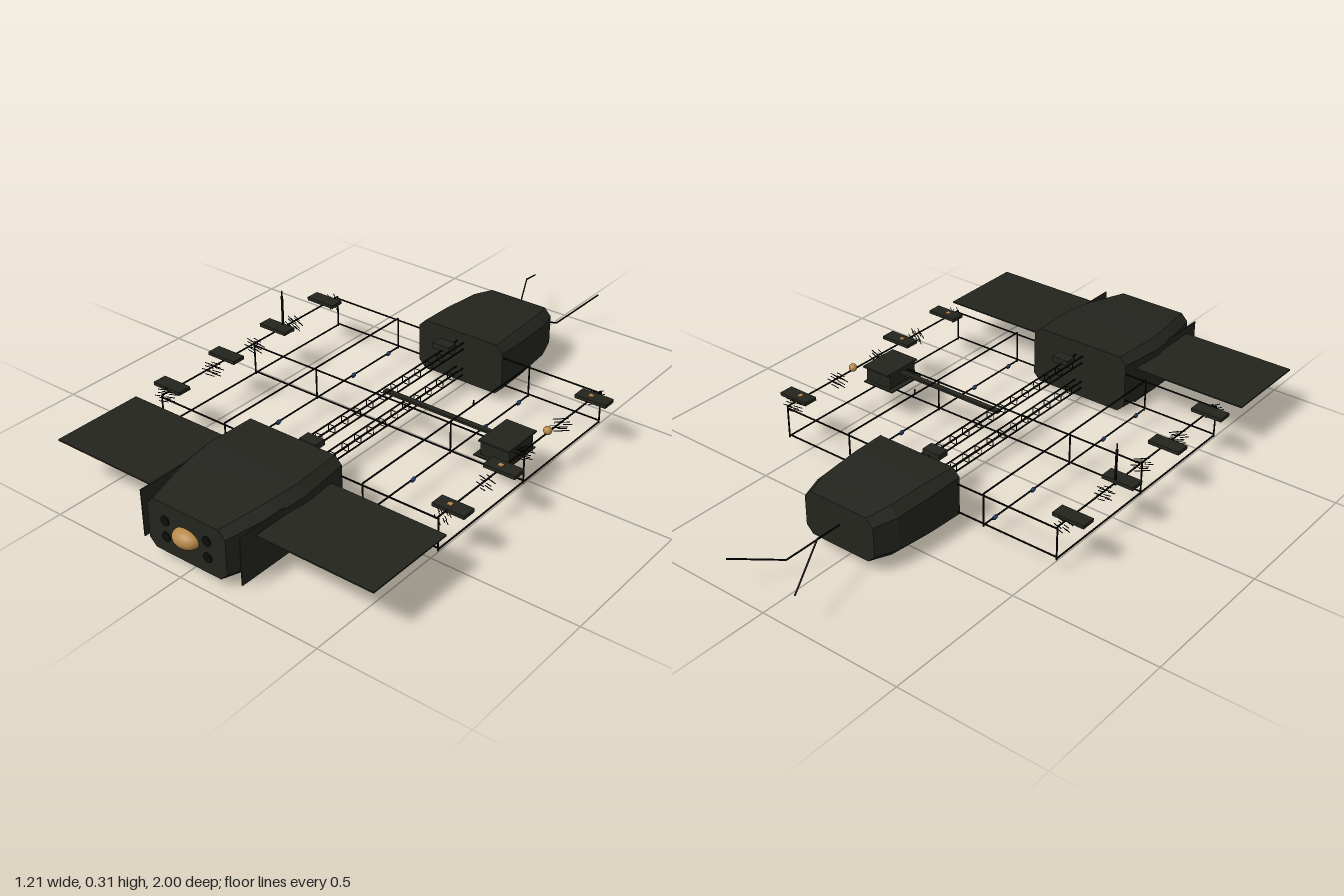
import * as THREE from 'three';

const mat = (color, extra = {}) => new THREE.MeshStandardMaterial({ color, ...extra });
const DARK = mat(0x24241f, { flatShading: true, side: THREE.DoubleSide });
const BLACK = mat(0x0c0c0b);
const BRASS = mat(0xb5894a);
const BLUE = mat(0x24406e);

export function createModel() {
  const root = new THREE.Group();

  const add = (name, geo, material, x = 0, y = 0, z = 0, parent = root) => {
    const m = new THREE.Mesh(geo, material);
    m.name = name;
    m.position.set(x, y, z);
    parent.add(m);
    return m;
  };
  const box = (name, w, h, d, x, y, z, material = DARK, parent = root) =>
    add(name, new THREE.BoxGeometry(w, h, d), material, x, y, z, parent);

  // Thin rod between two points
  const rod = (name, a, b, t = 0.004, parent = root) => {
    const p = new THREE.Vector3(...a), q = new THREE.Vector3(...b);
    const m = add(name, new THREE.BoxGeometry(t, t, p.distanceTo(q)), BLACK, 0, 0, 0, parent);
    m.position.copy(p).add(q).multiplyScalar(0.5);
    m.lookAt(q);
    return m;
  };

  // Hull lofted through chamfered rectangles: [z, halfWidth, bottom, top, chamfer], z rising
  const hull = (name, sections) => {
    const pos = [], idx = [], n = 8;
    for (const [z, w, lo, hi, c] of sections) {
      const ring = [[w - c, lo], [w, lo + c], [w, hi - c], [w - c, hi],
        [c - w, hi], [-w, hi - c], [-w, lo + c], [c - w, lo]];
      ring.forEach(([x, y]) => pos.push(x, y, z));
    }
    for (let s = 0; s < sections.length - 1; s++) {
      for (let i = 0; i < n; i++) {
        const a = s * n + i, b = s * n + (i + 1) % n;
        idx.push(a, b, b + n, a, b + n, a + n);
      }
    }
    const last = (sections.length - 1) * n;
    for (let i = 1; i < n - 1; i++) {
      idx.push(0, i + 1, i);
      idx.push(last, last + i, last + i + 1);
    }
    const g = new THREE.BufferGeometry();
    g.setAttribute('position', new THREE.Float32BufferAttribute(pos, 3));
    g.setIndex(idx);
    g.computeVertexNormals();
    add(name, g, DARK);
  };

  hull('frontHull', [
    [0.515, 0.19, 0.018, 0.225, 0.025],
    [0.69, 0.203, 0.01, 0.222, 0.03],
    [0.8, 0.19, 0.01, 0.215, 0.03],
    [0.965, 0.15, 0.03, 0.197, 0.025],
  ]);
  hull('rearHull', [
    [-0.68, 0.135, 0.045, 0.197, 0.025],
    [-0.6, 0.16, 0.033, 0.207, 0.03],
    [-0.45, 0.17, 0.027, 0.212, 0.03],
    [-0.335, 0.17, 0.027, 0.21, 0.025],
  ]);

  // Nose dome and surrounding ports
  const nose = add('noseDome', new THREE.SphereGeometry(1, 24, 16), BRASS, 0, 0.115, 0.965);
  nose.scale.set(0.048, 0.031, 0.035);
  for (const x of [-0.08, 0.08]) {
    for (const y of [0.085, 0.14]) {
      add('nosePort', new THREE.CylinderGeometry(0.016, 0.016, 0.006, 16), BLACK, x, y, 0.966)
        .rotation.x = Math.PI / 2;
    }
  }

  for (const s of [-1, 1]) {
    // Flat wings and side plates of the front hull
    box('wing', 0.41, 0.005, 0.32, s * 0.4, 0.166, 0.73);
    box('sidePlate', 0.004, 0.16, 0.37, s * 0.19, 0.11, 0.765);
    // Feet beneath the hull
    for (const x of [0.08, 0.13]) box('foot', 0.02, 0.012, 0.11, s * x, 0.006, 0.735);
    // Bent rear antennas, one bowed up and one bowed down
    const mid = [s * 0.067, 0.125 - s * 0.067, -0.835];
    rod('antenna', [0, 0.125, -0.675], mid);
    rod('antenna', mid, [s * 0.135, 0.125, -0.999]);
  }

  // Open frame between the hulls
  const Z0 = -0.345, Z1 = 0.52, LOW = 0.06, TOP = 0.165;
  for (const z of [Z0, 0.09, Z1]) {
    for (const y of [LOW + 0.005, TOP]) rod('crossBar', [-0.54, y, z], [0.54, y, z]);
    for (const x of [-0.54, -0.27, 0.27, 0.54]) rod('post', [x, 0.055, z], [x, 0.172, z]);
  }
  for (const x of [-0.54, -0.27, 0.27, 0.54]) {
    rod('lowerRail', [x, LOW, Z0], [x, LOW, Z1]);
    rod('upperRail', [x, 0.172, Z0], [x, 0.172, Z1]);
  }

  // Central square trusses, upper and lower
  for (const yc of [0.065, 0.163]) {
    for (const x of [-0.013, 0.013]) {
      for (const dy of [-0.012, 0.012]) {
        rod('trussRail', [x, yc + dy, Z0], [x, yc + dy, Z1]);
      }
    }
    for (let i = 0; i <= 14; i++) {
      const z = Z0 + (Z1 - Z0) * i / 14;
      for (const s of [-1, 1]) {
        rod('trussRung', [-0.013, yc + s * 0.012, z], [0.013, yc + s * 0.012, z], 0.002);
        rod('trussRung', [s * 0.013, yc - 0.012, z], [s * 0.013, yc + 0.012, z], 0.002);
      }
    }
  }

  // Small wire cages along the outer rails
  const cage = (x, y, z, r = 0.015) => {
    const g = new THREE.Group();
    g.name = 'cage';
    g.position.set(x, y, z);
    for (const a of [-r, r]) {
      for (const b of [-r, r]) {
        rod('cageBar', [-r, a, b], [r, a, b], 0.002, g);
        rod('cageBar', [a, -r, b], [a, r, b], 0.002, g);
        rod('cageBar', [a, b, -r], [a, b, r], 0.002, g);
      }
    }
    root.add(g);
  };
  for (const x of [-0.54, 0.54]) {
    for (const z of [-0.315, -0.11, 0.09, 0.29, 0.5]) cage(x, 0.163, z);
  }

  // Pads on the outer rails, brass studs on the left row
  for (const z of [-0.285, -0.035, 0.215, 0.465]) {
    box('pad', 0.112, 0.012, 0.05, -0.55, 0.178, z);
    if (z !== -0.035) {
      box('pad', 0.112, 0.012, 0.05, 0.55, 0.178, z);
      box('padStud', 0.016, 0.006, 0.016, 0.54, 0.184, z, BRASS);
    }
  }
  add('railSensor', new THREE.SphereGeometry(0.014, 16, 12), BRASS, 0.54, 0.18, -0.035);

  // Beads along the lower inner rails
  for (const x of [-0.27, 0.27]) {
    for (const z of [-0.29, -0.1, 0.28, 0.47]) {
      const bead = add('bead', new THREE.SphereGeometry(0.009, 12, 8), BLUE, x, 0.058, z);
      bead.scale.set(0.6, 1, 1.3);
    }
  }
  box('trussBox', 0.065, 0.02, 0.042, -0.02, 0.182, -0.27);
  box('trussBox', 0.065, 0.02, 0.042, 0.02, 0.182, 0.45);

  // Side boom carrying an instrument box
  box('boom', 0.42, 0.008, 0.02, 0.2, 0.167, 0.06);
  box('instrumentBox', 0.105, 0.055, 0.125, 0.46, 0.153, 0.065);
  box('instrumentLid', 0.11, 0.006, 0.15, 0.462, 0.18, 0.065);
  box('instrumentBase', 0.126, 0.004, 0.15, 0.453, 0.123, 0.065);

  // Masts
  rod('mast', [-0.54, 0.165, -0.055], [-0.54, 0.31, -0.055], 0.003);
  rod('mastSleeve', [-0.54, 0.165, -0.055], [-0.54, 0.29, -0.055], 0.006);
  rod('shortMast', [0.27, 0.17, -0.03], [0.27, 0.19, -0.03]);

  return root;
}
